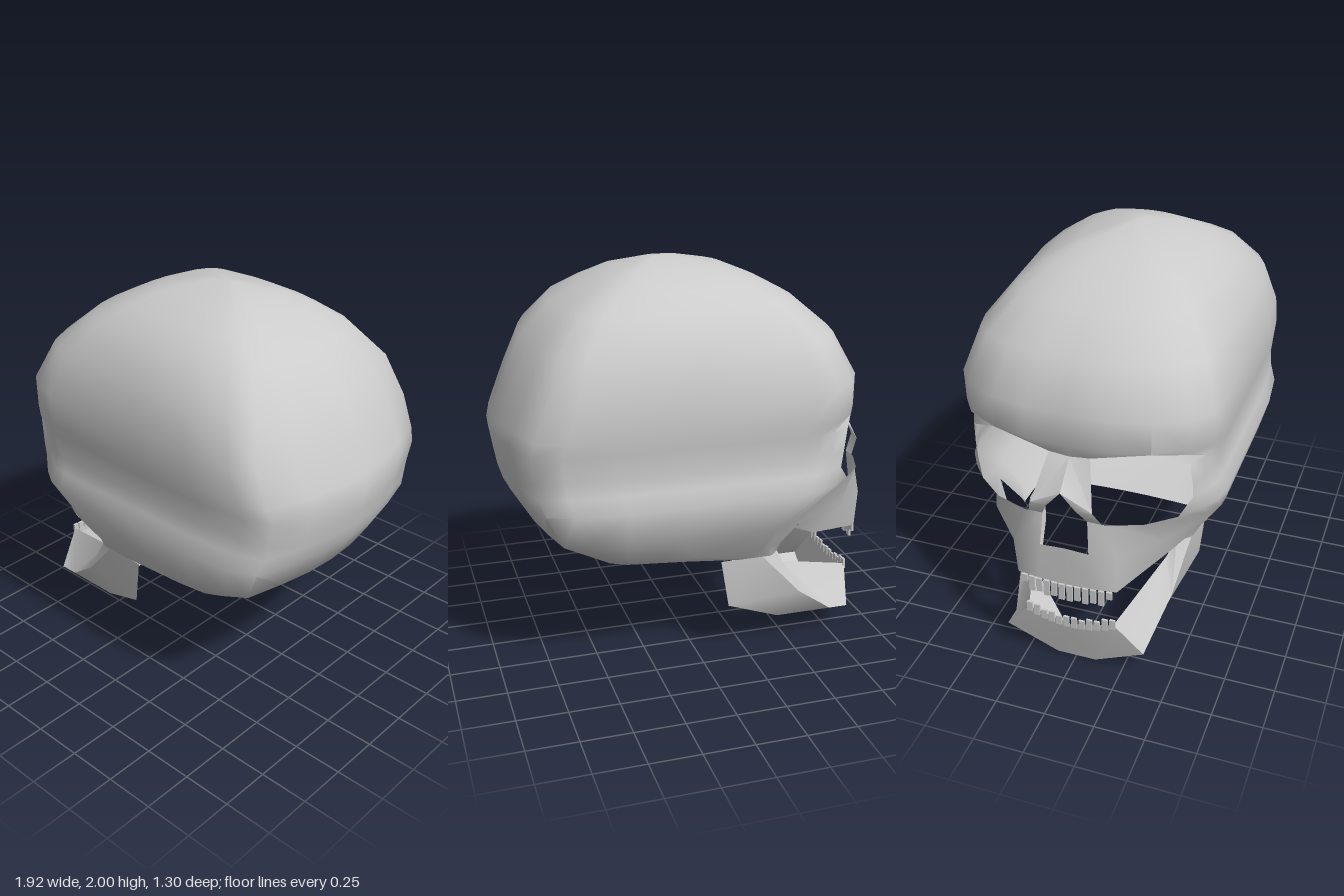
import * as THREE from 'three';
import { mergeVertices, toCreasedNormals } from 'three/addons/utils/BufferGeometryUtils.js';

const bone = new THREE.MeshStandardMaterial({ color: 0xcccccc, side: THREE.DoubleSide });

// Builds a mirrored shell from patches on the +z half.
// Each patch is rows (top to bottom) of points (face to back).
function shell(name, patches, crease) {
  const pos = [];
  const tri = (a, b, c) => {
    const [p, q, r] = [a, b, c].map(v => new THREE.Vector3(...v));
    if (q.clone().sub(p).cross(r.clone().sub(p)).length() < 1e-6) return;
    pos.push(...a, ...b, ...c);
    for (const [x, y, z] of [a, c, b]) pos.push(x, y, -z);
  };
  for (const rows of patches)
    for (let i = 0; i < rows.length - 1; i++)
      for (let j = 0; j < rows[i].length - 1; j++) {
        const a = rows[i][j], b = rows[i][j + 1], c = rows[i + 1][j + 1], d = rows[i + 1][j];
        tri(a, d, c);
        tri(a, c, b);
      }
  const g = new THREE.BufferGeometry();
  g.setAttribute('position', new THREE.Float32BufferAttribute(pos, 3));
  const mesh = new THREE.Mesh(toCreasedNormals(mergeVertices(g), crease), bone);
  mesh.name = name;
  return mesh;
}

// Half outline of a horizontal section, from the forehead round to the back
const outline = [[-1, 0], [-0.99, 0.33], [-0.945, 0.6], [-0.85, 0.85], [-0.73, 0.97], [-0.6, 1], [0.05, 1],
  [0.43, 1], [0.72, 0.96], [0.87, 0.88], [0.94, 0.56], [0.985, 0.28], [1, 0]];

// round blends the boxy outline towards an ellipse
function section(y, front, back, width, round = 0) {
  const mid = (front + back) / 2, half = (back - front) / 2;
  return outline.map(([u, v]) => [mid + u * half, y, THREE.MathUtils.lerp(v, Math.sqrt(1 - u * u), round) * width]);
}

// Section below the brow, starting at the open rim of the face
function openSection(y, rimX, rimZ, back, width, front = -0.8) {
  const s = section(y, front, back, width).slice(5);
  const lead = [0, 1, 2].map(i => {
    const t = i / 3;
    return [rimX + (s[0][0] - rimX) * t, y, rimZ + (s[0][2] - rimZ) * Math.sin(t * Math.PI / 2)];
  });
  return [...lead, ...s];
}

function cranium() {
  const dome = [
    [2.0, 0.08, 0.08, 0], [2.0, 0.0, 0.14, 0.03], [1.95, -0.24, 0.34, 0.23, 0.3], [1.88, -0.41, 0.49, 0.37, 0.3],
    [1.8, -0.56, 0.64, 0.48, 0.3], [1.64, -0.75, 0.79, 0.59, 0.15], [1.43, -0.865, 0.88, 0.63], [1.27, -0.865, 0.945, 0.63],
  ].map(r => section(...r));
  const brow = dome[dome.length - 1];
  const lower = [
    [1.2, -0.72, 0.53, 0.96, 0.62], [1.08, -0.7, 0.54, 0.94, 0.61], [1.0, -0.69, 0.54, 0.925, 0.62],
    [0.92, -0.75, 0.49, 0.9, 0.65], [0.74, -0.47, 0.56, 0.79, 0.6, -0.55], [0.59, -0.42, 0.45, 0.53, 0.5, -0.5],
    [0.53, -0.42, 0.4, -0.1, 0.46, -0.42],
  ].map(r => openSection(...r));
  // Bone between the eye openings
  const glabella = [brow.slice(0, 3), [[-0.84, 1.2, 0], [-0.84, 1.21, 0.1], brow[2]]];
  // Cheeks running from the nose into the side of the head
  const cheek = [
    [[-0.92, 0.92, 0.11], [-0.92, 0.92, 0.2], [-0.86, 0.92, 0.36], lower[3][0]],
    [[-0.94, 0.75, 0.12], [-0.93, 0.74, 0.26], [-0.75, 0.77, 0.43], lower[4][0]],
    [[-0.93, 0.54, 0.14], [-0.92, 0.545, 0.25], [-0.61, 0.61, 0.42], [-0.45, 0.71, 0.55]],
  ];
  const upperLip = [
    [[-0.945, 0.76, 0], cheek[1][0]],
    [[-0.93, 0.52, 0], cheek[2][0]],
  ];
  return shell('cranium', [dome, [brow.slice(2), ...lower], glabella, cheek, upperLip], 1.15);
}

function noseBone() {
  const bridge = [[[-0.84, 1.2, 0], [-0.84, 1.21, 0.1]], [[-0.965, 1.08, 0], [-0.96, 1.0, 0.15]]];
  const tip = [[[-0.965, 1.08, 0], [-0.96, 1.0, 0.15]], [[-0.965, 1.0, 0.07], [-0.96, 1.0, 0.15]]];
  const side = [[[-0.965, 1.0, 0.07], [-0.96, 1.0, 0.15]], [[-0.92, 0.92, 0.11], [-0.92, 0.92, 0.18]]];
  return shell('noseBone', [bridge, tip, side], 0.6);
}

function lowerJaw() {
  const hinge = [-0.32, 0.53, 0.45], mid = [-0.55, 0.28, 0.41], corner = [-0.75, 0.13, 0.36];
  const lip = [-0.89, 0.31, 0.22], chinEdge = [-0.85, 0.13, 0.36], chin = [-0.86, 0.13, 0.18], base = [-0.83, 0, 0.1];
  const branch = [
    [hinge, [-0.1, 0.53, 0.46]], [mid, [-0.15, 0.27, 0.44]], [corner, [-0.45, 0.13, 0.36]],
    [base, [-0.67, 0, 0.1]], [[-0.83, 0, 0], [-0.67, 0, 0]],
  ];
  // Upward-leaning plate between the hinge and the chin
  const plate = [[[-0.42, 0.53, 0.39], hinge], [[-0.46, 0.44, 0.35], mid], [lip, corner], [chinEdge, corner]];
  const front = [[[-0.895, 0.26, 0], lip, lip], [[-0.86, 0.13, 0], chin, chinEdge], [[-0.83, 0, 0], base, base]];
  const underside = [[chinEdge, corner], [base, base]];
  return [shell('jawBranch', [branch, underside], 1.1), shell('jawPlate', [plate], 1), shell('chin', [front], 0.5)];
}

// Two rows of thin teeth following the jaw edges
function teeth() {
  const group = new THREE.Group();
  group.name = 'teeth';
  const add = (name, x, y0, y1, z, w) => {
    const m = new THREE.Mesh(new THREE.BoxGeometry(0.012, y1 - y0, w), bone);
    m.name = name;
    m.position.set(x, (y0 + y1) / 2, z);
    group.add(m);
  };
  for (const s of [-1, 1])
    for (let i = 0; i < 6; i++) {
      const z = 0.02 + i * 0.039, k = (z / 0.22) ** 2, step = (i % 2) * 0.01;
      add('upperTooth', -0.94 + 0.015 * k, 0.45 + (i > 4 ? 0.04 : 0.01 * k) + step, 0.54, s * z, 0.029);
      add('lowerTooth', -0.897 + 0.01 * k, 0.245 + 0.04 * k, 0.305 + 0.045 * k - step, s * z, 0.029);
    }
  return group;
}

export function createModel() {
  const group = new THREE.Group();
  group.name = 'skull';
  group.add(cranium(), noseBone(), ...lowerJaw(), teeth());
  return group;
}
